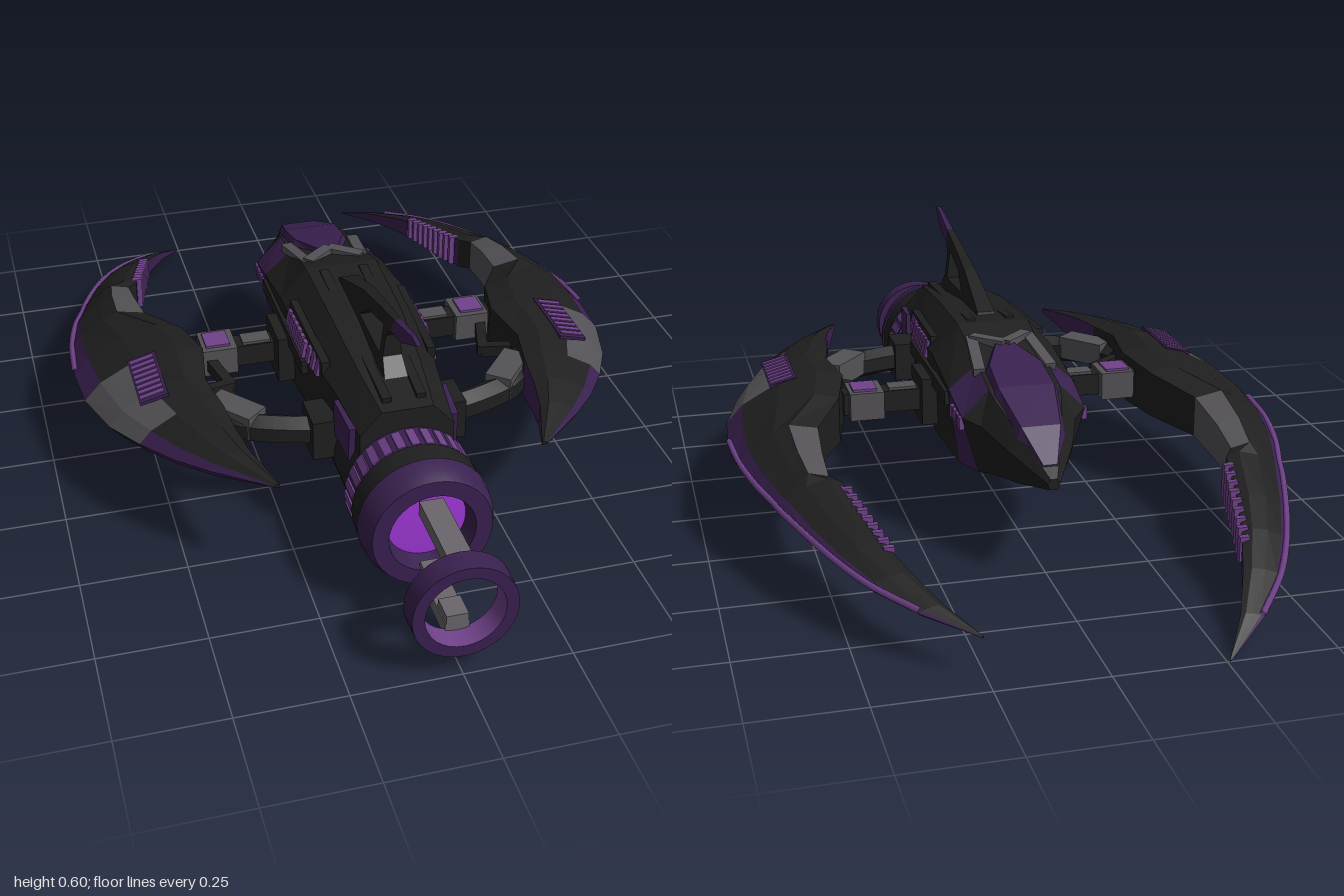
import * as THREE from 'three';
import { toCreasedNormals } from 'three/addons/utils/BufferGeometryUtils.js';

const paint = (name, color) => Object.assign(new THREE.MeshStandardMaterial({ color }), { name });
const black = paint('hull black', 0x1f1f1f);
const grey = paint('panel grey', 0x545256);
const purple = paint('dark purple', 0x3a2150);
const lilac = paint('trim lilac', 0x70428a);
const pale = paint('strut grey', 0x6a666c);
const glow = paint('engine glow', 0xa038d8);
const mats = [black, grey, purple, lilac];

const lerp = THREE.MathUtils.lerp;

function add(parent, name, geo, mat) {
  const m = new THREE.Mesh(geo, mat);
  m.name = name;
  parent.add(m);
  return m;
}

function box(parent, name, size, pos, mat) {
  const m = add(parent, name, new THREE.BoxGeometry(...size), mat);
  m.position.set(...pos);
  return m;
}

// Straight beam between two points
function bar(parent, name, a, b, w, h, mat) {
  const p = new THREE.Vector3(...a), q = new THREE.Vector3(...b);
  const m = add(parent, name, new THREE.BoxGeometry(w, h, p.distanceTo(q)), mat);
  m.position.copy(p).lerp(q, 0.5);
  m.lookAt(q);
}

// Faceted skin through rings ordered by rising z; pick(segment, facet) gives the material index
function loft(rings, pick = () => 0, flip = false) {
  const buckets = mats.map(() => []);
  const tri = (k, a, b, c) => buckets[k].push(...a, ...(flip ? c : b), ...(flip ? b : c));
  const n = rings[0].length;
  for (let i = 0; i < rings.length - 1; i++) {
    for (let j = 0; j < n; j++) {
      const a = rings[i][j], b = rings[i][(j + 1) % n];
      const c = rings[i + 1][(j + 1) % n], d = rings[i + 1][j];
      const k = pick(i, j);
      tri(k, a, b, c);
      tri(k, a, c, d);
    }
  }
  const first = rings[0], last = rings[rings.length - 1];
  for (let j = 1; j < n - 1; j++) {
    tri(0, first[0], first[j + 1], first[j]);
    tri(0, last[0], last[j], last[j + 1]);
  }
  const geo = new THREE.BufferGeometry();
  let start = 0;
  buckets.forEach((b, k) => {
    if (b.length) geo.addGroup(start, b.length / 3, k);
    start += b.length / 3;
  });
  geo.setAttribute('position', new THREE.Float32BufferAttribute(buckets.flat(), 3));
  geo.computeVertexNormals();
  return geo;
}

// Symmetric ring from right-hand points listed bottom to top
const symRing = (z, half) => [
  ...half.map(([x, y]) => [x, y, z]),
  ...half.slice().reverse().map(([x, y]) => [-x, y, z]),
];

// Round part turned about the z axis; profile points are [radius, z]
function turned(parent, name, profile, y, mat) {
  const g = new THREE.LatheGeometry(profile.map(p => new THREE.Vector2(...p)), 32);
  g.rotateX(Math.PI / 2);
  add(parent, name, toCreasedNormals(g, 0.5), mat).position.y = y;
}

// Side-on plate that thins towards the top
function finPlate(points, hole) {
  const shape = new THREE.Shape(points.map(p => new THREE.Vector2(...p)));
  if (hole) shape.holes.push(new THREE.Path(hole.map(p => new THREE.Vector2(...p))));
  const g = new THREE.ExtrudeGeometry(shape, { depth: 1, bevelEnabled: false });
  g.rotateY(-Math.PI / 2).translate(0.5, 0, 0);
  const p = g.attributes.position;
  for (let i = 0; i < p.count; i++) p.setX(i, p.getX(i) * lerp(0.055, 0.01, (p.getY(i) - 0.42) / 0.185));
  g.computeVertexNormals();
  return g;
}

// Blade stations: z, outer x, outer y, inner x, crest y, inner bottom y
const blade = [
  [-0.94, 0.26, 0.09, 0.255, 0.092, 0.088],
  [-0.85, 0.37, 0.112, 0.315, 0.127, 0.102],
  [-0.75, 0.455, 0.132, 0.362, 0.16, 0.115],
  [-0.65, 0.512, 0.15, 0.4, 0.19, 0.128],
  [-0.55, 0.555, 0.165, 0.43, 0.215, 0.14],
  [-0.42, 0.602, 0.18, 0.455, 0.25, 0.155],
  [-0.39, 0.61, 0.183, 0.48, 0.255, 0.16],
  [-0.3, 0.64, 0.195, 0.48, 0.275, 0.17],
  [-0.18, 0.665, 0.205, 0.472, 0.295, 0.18],
  [-0.05, 0.675, 0.21, 0.40, 0.32, 0.19],
  [0.08, 0.665, 0.215, 0.37, 0.335, 0.195],
  [0.22, 0.625, 0.225, 0.39, 0.335, 0.2],
  [0.33, 0.57, 0.24, 0.37, 0.327, 0.215],
  [0.42, 0.51, 0.25, 0.36, 0.317, 0.227],
  [0.5, 0.44, 0.26, 0.345, 0.305, 0.24],
  [0.62, 0.32, 0.28, 0.305, 0.285, 0.275],
];

// The right-hand blade droops and reaches a little further
function place(s, x, y, z) {
  if (s < 0 && z < 0) return [-x, y - 0.09 * (z / 0.94) ** 2, z * 1.064];
  return [s * x, y, z];
}

// Facets run outer edge, slope, roof, inner roof, inner wall, floor, lower slope, lower edge
function bladeColor(i, j) {
  const z = (blade[i][0] + blade[i + 1][0]) / 2;
  const panel = z > 0.08 && z < 0.33, front = z > 0.33;
  const notch = z > -0.4 && z < -0.18;
  if (j === 0) return panel ? 1 : 2;
  if (j === 1) return panel ? 1 : 0;
  if (j === 3) return notch ? 1 : 0;
  if (j === 4) return notch ? 1 : front || z < -0.42 ? 2 : 0;
  if (j === 5) return front ? 2 : 0;
  return j === 7 && !panel ? 2 : 0;
}

function makeWing(s) {
  const wing = new THREE.Group();
  wing.name = s > 0 ? 'leftWing' : 'rightWing';
  const rings = blade.map(([z, xo, yo, xi, yt, yb]) => {
    const at = (u, y) => place(s, lerp(xi, xo, u), y, z);
    const drop = (yt - yb) * 0.3;
    const notch = z > -0.4 && z < -0.1;
    return [at(1, yo), at(0.86, lerp(yo, yt, 0.38)), at(0.55, lerp(yo, yt, 0.8)), at(notch ? 0.36 : 0.22, yt),
      at(0, yt - drop * 0.4), at(0, yb), at(0.65, yo - drop * 1.15), at(0.9, yo - drop * 0.7)];
  });
  add(wing, 'blade', loft(rings, bladeColor, s < 0), mats);

  // Bright line along the cutting edge
  const edge = blade.slice(1, 10).map(([z, x, y]) => new THREE.Vector3(...place(s, x - 0.003, y + 0.007, z)));
  add(wing, 'edgeTrim', new THREE.TubeGeometry(new THREE.CatmullRomCurve3(edge), 36, 0.008, 5), lilac);

  // Ribbed vent on the upper face
  box(wing, 'ventBed', [0.07, 0.008, 0.19], [s * 0.52, 0.312, 0.168], purple).rotation.z = -s * 0.26;
  for (let i = 0; i < 8; i++) {
    box(wing, 'wingVent', [0.06, 0.009, 0.014], [s * 0.522, 0.314, 0.09 + i * 0.022], lilac).rotation.z = -s * 0.26;
  }

  // Ribs along the inner edge of the blade
  for (let i = 0; i < 9; i++) {
    const t = i / 8;
    const rib = place(s, lerp(0.397, 0.449, t), lerp(0.156, 0.194, t), lerp(-0.67, -0.45, t));
    box(wing, 'innerRib', [0.024, lerp(0.06, 0.085, t), 0.015], rib, lilac);
  }

  // Front pylon with its joint block
  box(wing, 'frontPylon', [0.24, 0.055, 0.055], [s * 0.26, 0.265, 0.03], black);
  box(wing, 'pylonCover', [0.07, 0.012, 0.045], [s * 0.23, 0.293, 0.03], grey);
  box(wing, 'pylonPad', [0.085, 0.07, 0.095], [s * 0.325, 0.265, 0.025], grey);
  box(wing, 'pylonCap', [0.06, 0.008, 0.065], [s * 0.328, 0.302, 0.025], lilac);
  box(wing, 'hullSocket', [0.045, 0.12, 0.13], [s * 0.165, 0.265, 0.04], black);
  bar(wing, 'pylonBrace', [s * 0.35, 0.26, 0.06], [s * 0.32, 0.25, 0.17], 0.025, 0.03, black);
  bar(wing, 'pylonBrace', [s * 0.32, 0.25, 0.16], [s * 0.39, 0.26, 0.19], 0.025, 0.03, black);

  // Curved rear pylon
  const arm = [[0.12, 0.4], [0.25, 0.365], [0.34, 0.32], [0.4, 0.22]]
    .map(([x, z]) => new THREE.Vector3(s * x, 0.25, z));
  add(wing, 'rearPylon', toCreasedNormals(new THREE.TubeGeometry(new THREE.CatmullRomCurve3(arm), 10, 0.036, 6), 0.4), black);
  bar(wing, 'rearPylonCover', [s * 0.295, 0.262, 0.35], [s * 0.38, 0.262, 0.25], 0.066, 0.06, grey);
  box(wing, 'rearSocket', [0.06, 0.1, 0.1], [s * 0.155, 0.25, 0.39], black);
  return wing;
}

export function createModel() {
  const ship = new THREE.Group();
  ship.name = 'starship';

  // Upper hull and nose: z, then bottom, side and top points
  const hull = [
    [-0.56, [0.01, 0.23], [0.015, 0.245], [0.008, 0.255]],
    [-0.45, [0.05, 0.205], [0.075, 0.285], [0.05, 0.325]],
    [-0.34, [0.09, 0.19], [0.115, 0.31], [0.08, 0.37]],
    [-0.3, [0.11, 0.18], [0.15, 0.32], [0.085, 0.385]],
    [-0.18, [0.13, 0.16], [0.155, 0.35], [0.085, 0.41]],
    [0.0, [0.15, 0.18], [0.155, 0.38], [0.09, 0.455]],
    [0.24, [0.14, 0.2], [0.15, 0.37], [0.085, 0.445]],
    [0.42, [0.125, 0.2], [0.125, 0.36], [0.075, 0.42]],
    [0.57, [0.11, 0.2], [0.11, 0.34], [0.06, 0.395]],
  ];
  const hullColor = (i, j) => (i === 3 && j !== 2 && j !== 5) || (i === 2 && j === 5) ? 2 : 0;
  add(ship, 'upperHull', loft(hull.map(([z, ...half]) => symRing(z, half)), hullColor), mats);

  // Canopy: z, half width, base y, top y
  const canopy = [[-0.53, 0.022, 0.25, 0.278], [-0.45, 0.062, 0.3, 0.342], [-0.32, 0.09, 0.35, 0.395],
    [-0.22, 0.085, 0.38, 0.418], [-0.1, 0.02, 0.41, 0.44]];
  add(ship, 'canopy', loft(canopy.map(([z, w, b, t]) => symRing(z, [[w, b], [w * 0.75, t]]))), purple);

  // Round lower hull
  turned(ship, 'lowerHull', [[0, -0.16], [0.06, -0.1], [0.125, 0.03], [0.135, 0.08], [0.135, 0.58]], 0.205, black);

  // Engine bands and nozzle
  turned(ship, 'engineBand', [[0.12, 0.57], [0.145, 0.57], [0.145, 0.65], [0.12, 0.65]], 0.2, purple);
  turned(ship, 'engineBody', [[0.13, 0.64], [0.15, 0.645], [0.15, 0.71], [0.13, 0.71]], 0.2, black);
  turned(ship, 'nozzle', [[0.13, 0.705], [0.154, 0.705], [0.15, 0.74], [0.138, 0.77], [0.1, 0.77], [0.09, 0.71]], 0.2, purple);
  turned(ship, 'engineGlow', [[0.1, 0.72], [0, 0.725]], 0.2, glow);
  for (let i = 0; i < 28; i++) {
    const a = (i / 28) * Math.PI * 2;
    const rib = box(ship, 'engineRib', [0.008, 0.02, 0.06], [0.145 * Math.cos(a), 0.2 + 0.145 * Math.sin(a), 0.61], lilac);
    rib.rotation.z = a;
  }

  // Tail ring on its two struts
  turned(ship, 'tailRing', [[0.09, 0.945], [0.12, 0.945], [0.118, 1], [0.09, 1]], 0.167, purple);
  turned(ship, 'tailRingLining', [[0.09, 1], [0.088, 0.945]], 0.167, lilac);
  box(ship, 'upperStrut', [0.055, 0.035, 0.2], [0, 0.26, 0.85], pale);
  box(ship, 'lowerStrut', [0.055, 0.035, 0.2], [0, 0.082, 0.85], pale);
  for (const z of [0.79, 0.92]) box(ship, 'strutFoot', [0.05, 0.03, 0.06], [0, 0.105, z], pale);

  // Dorsal fin with an opening and a coloured tip
  add(ship, 'fin', finPlate(
    [[0.06, 0.42], [0.48, 0.42], [0.445, 0.46], [0.445, 0.515], [0.47, 0.54], [0.48, 0.575], [0.38, 0.555], [0.25, 0.525], [0.07, 0.46]],
    [[0.42, 0.53], [0.42, 0.455], [0.25, 0.46], [0.31, 0.505]]), black);
  add(ship, 'finTip', finPlate([[0.47, 0.54], [0.55, 0.557], [0.64, 0.602], [0.6, 0.603], [0.48, 0.575]]), purple);

  for (const s of [1, -1]) {
    // Canopy surround and roof ridges
    bar(ship, 'canopyBrow', [0, 0.434, -0.12], [s * 0.07, 0.436, -0.06], 0.03, 0.02, grey);
    bar(ship, 'canopyArm', [s * 0.07, 0.433, -0.06], [s * 0.088, 0.4, -0.22], 0.028, 0.02, grey);
    bar(ship, 'roofRidge', [s * 0.05, 0.444, 0.02], [s * 0.04, 0.397, 0.54], 0.022, 0.03, black);

    // Side vents and cheek lights
    bar(ship, 'ventFrame', [s * 0.136, 0.393, 0.06], [s * 0.128, 0.382, 0.34], 0.02, 0.03, black);
    for (let i = 0; i < 9; i++) {
      const z = 0.08 + i * 0.029;
      box(ship, 'sideVent', [0.01, 0.042, 0.02], [s * (z > 0.24 ? 0.148 - (z - 0.24) * 0.12 : 0.152), 0.37, z], lilac).rotation.z = s * 0.2;
    }
    for (let i = 0; i < 4; i++) {
      box(ship, 'cheekLight', [0.012, 0.03, 0.02], [s * 0.15, 0.305, -0.29 + i * 0.028], lilac);
    }
    bar(ship, 'sideRail', [s * 0.15, 0.325, -0.17], [s * 0.15, 0.325, 0.24], 0.025, 0.035, black);
    bar(ship, 'rearFairing', [s * 0.115, 0.31, 0.43], [s * 0.108, 0.3, 0.54], 0.04, 0.09, purple);
    ship.add(makeWing(s));
  }
  return ship;
}
